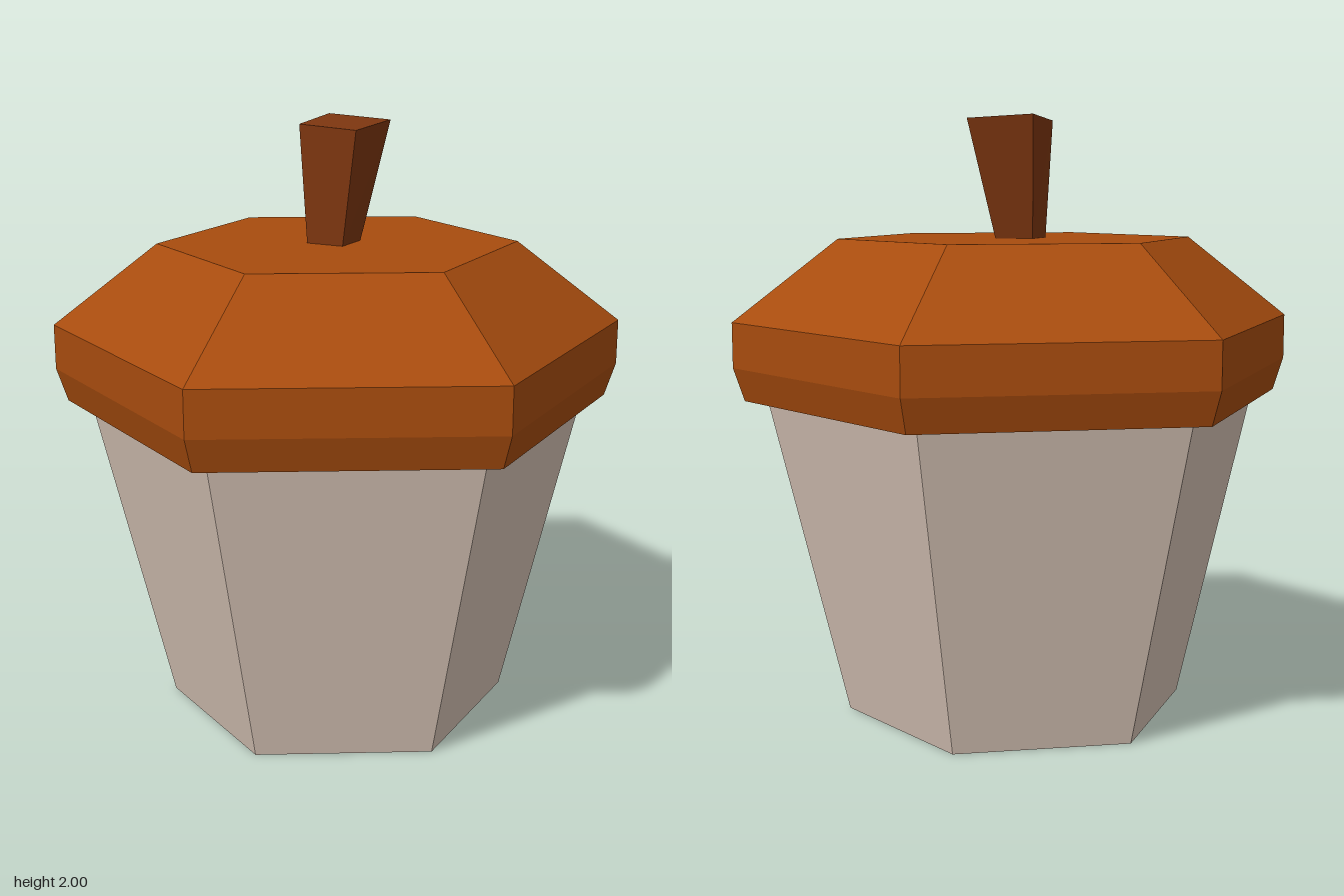
import * as THREE from 'three';

const makeMaterial = (name, color) => {
  const m = new THREE.MeshStandardMaterial({ color, flatShading: true });
  m.name = name;
  return m;
};

// Six-sided solid turned from [radius, height] pairs, listed bottom to top
function hexLathe(name, profile, material) {
  const points = profile.map(([r, y]) => new THREE.Vector2(r, y));
  const mesh = new THREE.Mesh(new THREE.LatheGeometry(points, 6), material);
  mesh.name = name;
  return mesh;
}

export function createModel() {
  const shell = makeMaterial('pale shell', 0xd5c2b4);
  const capBrown = makeMaterial('cap brown', 0xa84c0e);
  const stemBrown = makeMaterial('stem brown', 0x7d3610);

  const model = new THREE.Group();
  model.name = 'acorn';

  // Tapered nut with a flat base
  model.add(hexLathe('nut', [[0, 0], [0.577, 0], [0.832, 1.07], [0, 1.07]], shell));

  // Overhanging cap: underside, chamfered rim, slope and flat top
  model.add(hexLathe('cap', [
    [0, 1.07], [0.907, 1.07], [0.943, 1.18], [0.943, 1.33], [0.594, 1.6], [0, 1.6],
  ], capBrown));

  // Stem: a box that flares upwards, leans back and has a slanted top
  const stemGeometry = new THREE.BoxGeometry(1, 1, 1);
  const p = stemGeometry.attributes.position;
  for (let i = 0; i < p.count; i++) {
    const x = p.getX(i), z = p.getZ(i);
    if (p.getY(i) > 0) {
      const width = z > 0 ? 0.205 : 0.228;
      p.setXYZ(i, x * width - 0.002, 1.988 - 0.01 * x - 0.014 * z, z * 0.226 - 0.045);
    } else {
      p.setXYZ(i, x * 0.13 - 0.018, 1.595, z * 0.126 - 0.005);
    }
  }
  stemGeometry.computeVertexNormals();
  const stem = new THREE.Mesh(stemGeometry, stemBrown);
  stem.name = 'stem';
  model.add(stem);

  return model;
}
